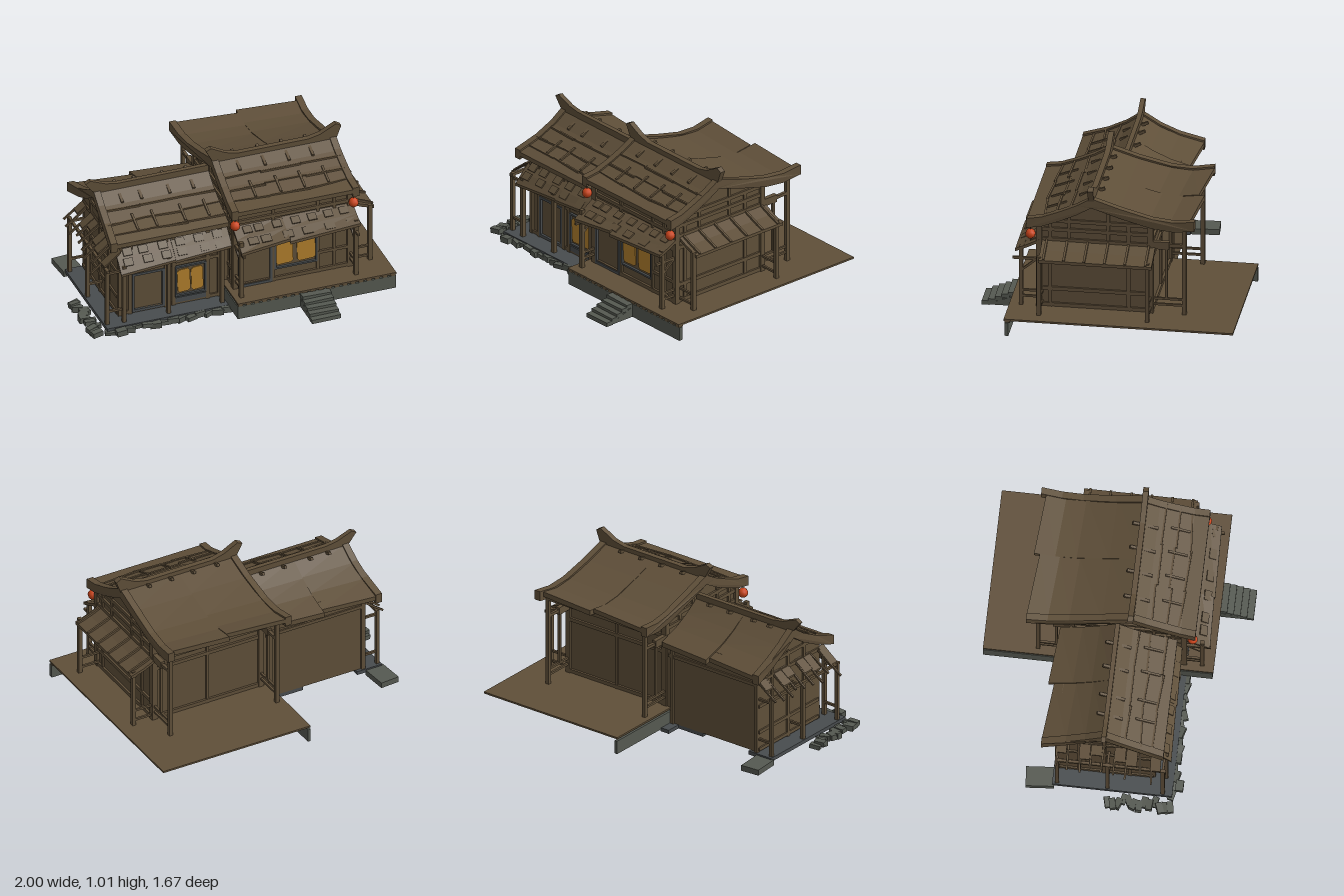
import * as THREE from 'three';

const mat = (name, color) => Object.assign(new THREE.MeshStandardMaterial({ color }), { name });

export function createModel() {
  const root = new THREE.Group();
  root.name = 'timberHouse';
  const wood = mat('brown wood', 0x5f4f39);
  const stone = mat('grey stone', 0x555951);
  const slate = mat('dark frame grey', 0x484c4e);
  const glow = mat('amber window', 0xb07e2c);
  const red = mat('lantern red', 0xcc451c);

  let seed = 7;
  const rnd = () => (seed = (seed * 16807) % 2147483647) / 2147483647;

  const add = (name, geo, m = wood) => {
    const mesh = new THREE.Mesh(geo, m);
    mesh.name = name;
    root.add(mesh);
    return mesh;
  };
  // Box given by its low and high limits on each axis
  const box = (name, x0, x1, y0, y1, z0, z1, m) => {
    const b = add(name, new THREE.BoxGeometry(x1 - x0, y1 - y0, z1 - z0), m);
    b.position.set((x0 + x1) / 2, (y0 + y1) / 2, (z0 + z1) / 2);
    return b;
  };
  // Bar between two points
  const bar = (name, a, b, w, m) => {
    const p = new THREE.Vector3(...a), q = new THREE.Vector3(...b);
    const s = add(name, new THREE.BoxGeometry(w, w, p.distanceTo(q)), m);
    s.position.copy(p).add(q).multiplyScalar(0.5);
    s.lookAt(q);
    return s;
  };
  // [z, y] outline extruded along x
  const alongX = (name, pts, x0, x1, m) => {
    const shape = new THREE.Shape(pts.map(([z, y]) => new THREE.Vector2(-z, y)));
    const geo = new THREE.ExtrudeGeometry(shape, { depth: x1 - x0, bevelEnabled: false });
    return add(name, geo.rotateY(Math.PI / 2).translate(x0, 0, 0), m);
  };
  // [x, y] outline extruded along z
  const alongZ = (name, pts, z0, z1, m) => {
    const shape = new THREE.Shape(pts.map(([x, y]) => new THREE.Vector2(x, y)));
    const geo = new THREE.ExtrudeGeometry(shape, { depth: z1 - z0, bevelEnabled: false });
    return add(name, geo.translate(0, 0, z0), m);
  };
  // Move each vertex of a mesh by a rule
  const warp = (mesh, rule) => {
    const p = mesh.geometry.attributes.position, v = new THREE.Vector3();
    for (let i = 0; i < p.count; i++) {
      rule(v.fromBufferAttribute(p, i));
      p.setXYZ(i, v.x, v.y, v.z);
    }
    mesh.geometry.computeVertexNormals();
  };
  // Strip with a top line and a thickness
  const slab = (pts, t) => [...pts, ...pts.map(([a, y]) => [a, y - t]).reverse()];
  // Sagging sheet: its eave shifts by dy, dz at the +x end
  const sheet = (name, pts, t, x0, x1, dy, dz) => {
    const za = pts[0][0], ze = pts[pts.length - 1][0];
    warp(alongX(name, slab(pts, t), x0, x1), (v) => {
      const k = Math.max(0, (v.z - za) / (ze - za)) * (v.x - x0) / (x1 - x0);
      v.y += dy * k;
      v.z += dz * k;
    });
  };
  const heightAt = (pts, a) => {
    for (let i = 0; i + 1 < pts.length; i++) {
      const [p, h] = pts[i], [q, k] = pts[i + 1];
      if ((a - p) * (a - q) <= 0) return h + (k - h) * (a - p) / (q - p);
    }
    return pts[pts.length - 1][1];
  };

  // Deck, joists, stone skirt on two sides
  box('deck', -0.065, 1, 0.153, 0.165, -0.83, 0.63);
  box('frontSkirt', -0.065, 1, 0.05, 0.14, 0.6, 0.625, stone);
  box('sideSkirt', -0.065, -0.045, 0.05, 0.14, -0.83, 0.6, stone);
  box('underfloorPanel', -0.045, -0.03, 0.06, 0.153, -0.25, 0.32);
  for (let i = 0; i < 20; i++) box('joistEnd', -0.06 + i * 0.054, -0.03 + i * 0.054, 0.14, 0.153, 0.59, 0.625);
  for (let i = 0; i < 5; i++) {
    const s = box('step', 0.355, 0.55, 0.118 - i * 0.018, 0.145 - i * 0.018, 0.62 + i * 0.042, 0.67 + i * 0.042, stone);
    s.rotation.z = (rnd() - 0.5) * 0.05;
  }
  for (const x of [0.355, 0.53]) alongX('stairSide', [[0.62, 0.05], [0.82, 0.05], [0.62, 0.12]], x, x + 0.02, stone);

  // Roof made of front and back sheets, end boards, ridge, battens and pegs
  const roof = (front, back, x0, x1, xs, ends) => {
    const mid = x0 + (x1 - x0) * 0.5, [rz, ry] = front[0];
    alongX('frontRoof', slab(front, 0.03), x0, x1);
    sheet('backRoof', back, 0.03, x0, mid, 0, 0.037);
    sheet('backRoof', back, 0.034, mid, x1, 0, 0.033);
    for (const [e, flare] of ends) {
      const line = [...front].reverse().concat(back.slice(1)).map(([z, y]) => [z, y + 0.012]);
      warp(alongX('endBoard', slab(line, 0.065), e - 0.022, e + 0.022), (v) => {
        v.x += flare * ((v.z - rz) / 0.4) ** 2;
      });
    }
    for (const x of xs) {
      bar('ridgePeg', [x, ry + 0.005, rz - 0.06], [x, heightAt(front, rz + 0.1) + 0.005, rz + 0.1], 0.018);
      bar('roofRib', [x + 0.03, heightAt(front, rz + 0.18) + 0.002, rz + 0.18],
        [x + 0.03, heightAt(front, rz + 0.3) + 0.002, rz + 0.3], 0.014);
    }
    for (const d of [0.13, 0.22, 0.31]) {
      for (let i = 0; i < 3; i++) {
        const w = (x1 - x0) / 3, a = x0 + i * w, z = rz + d, y = heightAt(front, z) + 0.002;
        bar('roofBatten', [a, y, z + (rnd() - 0.5) * 0.03], [a + w, y, z + (rnd() - 0.5) * 0.03], 0.012);
      }
    }
  };
  const mainFront = [[0.105, 0.925], [0.2, 0.87], [0.3, 0.825], [0.42, 0.78], [0.515, 0.765]];
  const mainBack = [[0.105, 0.925], [-0.08, 0.865], [-0.285, 0.812], [-0.42, 0.8], [-0.555, 0.818]];
  roof(mainFront, mainBack, -0.04, 0.775, [0.11, 0.28, 0.44, 0.6], [[-0.028, -0.012], [0.765, 0.008]]);
  const sideFront = [[0.02, 0.815], [0.12, 0.745], [0.24, 0.685], [0.4, 0.63]];
  const sideBack = [[0.02, 0.815], [-0.1, 0.74], [-0.22, 0.685], [-0.375, 0.64]];
  roof(sideFront, sideBack, -0.8, -0.04, [-0.65, -0.52, -0.33, -0.17], [[-0.79, -0.025]]);
  alongZ('mainRidge', [[0, 0.9], [0.74, 0.9], [0.79, 0.92], [0.82, 1.0], [0.785, 1.02], [0.68, 0.965], [0.6, 0.948],
    [0.12, 0.948], [0.04, 0.97], [-0.055, 1.02], [-0.09, 1.005], [-0.045, 0.92]], 0.088, 0.124);
  alongZ('sideRidge', [[-0.78, 0.8], [-0.04, 0.8], [-0.04, 0.845], [-0.65, 0.845], [-0.73, 0.858], [-0.835, 0.9],
    [-0.868, 0.882], [-0.82, 0.82]], 0.008, 0.038);

  // Main house body
  alongX('mainBody', [[0.44, 0.16], [0.44, 0.755], [0.3, 0.8], [0.105, 0.9], [-0.27, 0.79], [-0.27, 0.16]], -0.015, 0.755);
  for (const x of [-0.015, 0.755]) {
    for (const z of [0.44, -0.27]) box('cornerPost', x - 0.018, x + 0.018, 0.16, 0.76, z - 0.018, z + 0.018);
    for (const z of [0.25, 0.0]) box('gableStud', x - 0.01, x + 0.01, 0.61, 0.84, z - 0.01, z + 0.01);
    for (const z of [0.37, -0.13]) box('wallStud', x - 0.01, x + 0.01, 0.16, 0.77, z - 0.012, z + 0.012);
    for (const y of [0.18, 0.29, 0.55, 0.63, 0.7, 0.76]) box('wallRail', x - 0.013, x + 0.013, y - 0.012, y + 0.012, -0.27, 0.44);
  }
  for (const z of [0.44, -0.27]) {
    for (const y of [0.18, 0.54, 0.65]) box('crossRail', -0.015, 0.755, y - 0.012, y + 0.012, z - 0.015, z + 0.015);
  }
  for (const x of [0.24, 0.54, 0.65]) box('frontStud', x - 0.01, x + 0.01, 0.16, 0.7, 0.427, 0.453);
  box('backStud', 0.36, 0.38, 0.16, 0.7, -0.283, -0.27);
  box('frontRail', 0.54, 0.755, 0.3, 0.32, 0.43, 0.455);

  // Doors and glowing windows
  const frame = (x0, x1, y0, y1, z, w) => {
    for (const x of [x0, x1 - w]) box('frameSide', x, x + w, y0, y1, z, z + 0.016, slate);
    for (const y of [y0, y1 - w]) box('frameRail', x0, x1, y, y + w, z, z + 0.016, slate);
  };
  const pane = (x0, x1, y0, y1, z) => {
    const c = 0.016;
    alongZ('windowPane', [[x0 + c, y0], [x1 - c, y0 + 0.004], [x1, y0 + c], [x1 - 0.004, y1 - c], [x1 - c, y1],
      [x0 + c, y1 - 0.003], [x0, y1 - c], [x0 + 0.005, y0 + c]], z, z + 0.006, glow);
  };
  frame(0, 0.232, 0.168, 0.52, 0.444, 0.017);
  frame(0.245, 0.535, 0.25, 0.5, 0.441, 0.012);
  pane(0.255, 0.375, 0.275, 0.457, 0.442);
  pane(0.398, 0.525, 0.275, 0.457, 0.442);

  // Front awning and the awning on the right end
  const tiles = (n, x0, x1, y, z, slope) => {
    for (let i = 0; i < n; i++) {
      const w = (x1 - x0) / n, b = add('awningTile', new THREE.BoxGeometry(w * 0.5, 0.01, 0.05));
      b.position.set(x0 + w * (i + 0.3 + rnd() * 0.4), y, z);
      b.rotation.x = slope;
    }
  };
  sheet('frontAwning', [[0.43, 0.625], [0.52, 0.565], [0.605, 0.515]], 0.02, -0.03, 0.3, 0.035, -0.01);
  sheet('frontAwning', [[0.43, 0.63], [0.52, 0.575], [0.6, 0.53]], 0.02, 0.3, 0.775, 0.025, -0.01);
  tiles(7, -0.02, 0.77, 0.606, 0.48, 0.5);
  tiles(6, -0.02, 0.77, 0.562, 0.555, 0.5);
  alongZ('endAwning', slab([[0.75, 0.63], [0.84, 0.585], [0.93, 0.555]], 0.02), -0.3, 0.42);
  for (let i = 0; i < 6; i++) bar('endAwningBatten', [0.77, 0.625, -0.26 + i * 0.13], [0.93, 0.558, -0.26 + i * 0.13], 0.014);

  // Veranda posts, rails and braces
  const post = (x, z, y0, y1, w = 0.013) => box('post', x - w, x + w, y0, y1, z - w, z + w);
  for (const x of [-0.015, 0.755]) {
    post(x, 0.555, 0.165, 0.57);
    post(x, -0.485, 0.165, 0.78);
    post(x, -0.37, 0.27, 0.65, 0.009);
    for (const y of [0.225, 0.265]) {
      bar('sideRail', [x, y, 0.44], [x, y, 0.555], 0.014);
      bar('sideRail', [x, y, -0.27], [x, y, -0.485], 0.014);
    }
    bar('brace', [x, 0.4, 0.555], [x, 0.48, 0.46], 0.014);
    bar('tieBeam', [x, 0.63, -0.27], [x, 0.64, -0.485], 0.02);
    box('beamEnd', x - 0.015, x + 0.015, 0.61, 0.66, -0.39, -0.27);
    bar('tieBeam', [x, 0.485, 0.44], [x, 0.485, 0.61], 0.016);
  }
  bar('backBeam', [-0.03, 0.765, -0.485], [0.77, 0.765, -0.485], 0.025);
  for (const z of [-0.27, 0.42]) {
    post(0.9, z, 0.165, 0.57);
    for (const y of [0.2, 0.27]) bar('endRail', [0.76, y, z], [0.9, y, z], 0.014);
  }
  bar('endBeam', [0.9, 0.55, -0.3], [0.9, 0.55, 0.43], 0.02);

  // Side wing walls, open at the bottom
  const X0 = -0.76, X1 = -0.02, Z0 = -0.28, Z1 = 0.33;
  box('wingFront', X0, X1, 0.06, 0.65, Z1 - 0.015, Z1);
  box('wingBack', X0, X1, 0.06, 0.66, Z0, Z0 + 0.015);
  alongX('wingEnd', [[Z1, 0.06], [Z1, 0.63], [0.02, 0.79], [Z0, 0.64], [Z0, 0.06]], X0, X0 + 0.015);
  for (const x of [-0.75, -0.68, -0.44, -0.39, -0.16, -0.08]) post(x, Z1, 0.06, 0.64);
  for (const x of [-0.75, -0.08]) post(x, Z0, 0.06, 0.64);
  for (const y of [0.075, 0.36, 0.5, 0.6]) bar('wingFrontRail', [X0, y, Z1], [-0.05, y, Z1], 0.022);
  for (const y of [0.53, 0.6]) bar('wingBackRail', [X0, y, Z0], [-0.05, y, Z0], 0.022);
  for (const z of [-0.14, 0.02, 0.18]) post(X0, z, 0.06, 0.66, 0.011);
  for (const y of [0.08, 0.2, 0.38, 0.55, 0.64]) bar('wingEndRail', [X0, y, Z0], [X0, y, Z1], 0.022);
  frame(-0.67, -0.45, 0.07, 0.35, Z1, 0.016);
  frame(-0.38, -0.17, 0.12, 0.34, Z1, 0.012);
  box('sillPanel', -0.38, -0.17, 0.075, 0.11, Z1, Z1 + 0.012, slate);
  pane(-0.365, -0.275, 0.143, 0.312, Z1 + 0.002);
  pane(-0.272, -0.188, 0.143, 0.312, Z1 + 0.002);

  // Wing awnings, posts and broken rafters
  sheet('wingAwning', [[0.32, 0.56], [0.39, 0.49], [0.445, 0.43]], 0.018, -0.78, -0.41, 0.025, -0.01);
  sheet('wingAwning', [[0.32, 0.57], [0.39, 0.505], [0.44, 0.45]], 0.018, -0.41, -0.03, 0.025, -0.01);
  tiles(6, -0.77, -0.04, 0.538, 0.36, 0.75);
  tiles(6, -0.77, -0.04, 0.49, 0.405, 0.75);
  for (const x of [-0.75, -0.45, -0.09]) post(x, 0.41, 0.06, 0.47);
  for (let i = 0; i < 9; i++) {
    const z = -0.28 + i * 0.075, k = rnd() * 0.06;
    bar('brokenRafter', [-0.75, 0.56, z], [-0.95 + k, 0.41 + k * 0.75, z + (rnd() - 0.5) * 0.04], 0.012);
    if (i % 3 !== 1) alongZ('brokenAwning', slab([[-0.76, 0.565], [-0.88 + k, 0.47 + k * 0.8]], 0.012), z, z + 0.065);
  }
  for (const z of [-0.27, 0.05, 0.4]) {
    post(-0.86, z, 0.05, 0.46, 0.012);
    for (const y of [0.15, 0.43]) bar('endRail', [-0.86, y, z], [-0.76, y, z], 0.015);
  }
  bar('endBeam', [-0.86, 0.45, -0.28], [-0.86, 0.45, 0.42], 0.018);

  // Wing floor slab and rough stones around its edge
  box('wingSlabFront', -0.88, -0.06, 0.035, 0.06, 0.06, 0.46, slate);
  box('wingSlabBack', -0.32, -0.06, 0.035, 0.06, -0.28, 0.06, slate);
  box('wingSlabCorner', -0.125, -0.06, 0.035, 0.06, -0.38, -0.28, slate);
  box('wingSlabEnd', -0.88, -0.7, 0.035, 0.06, -0.3, 0.06, slate);
  const rock = (x, z, w, d) => {
    const h = 0.02 + rnd() * 0.02;
    const s = add('edgeStone', new THREE.BoxGeometry(w, h, d), stone);
    s.position.set(x, 0.022 + rnd() * 0.015 + h / 4, z);
    s.rotation.set((rnd() - 0.5) * 0.2, (rnd() - 0.5) * 0.8, (rnd() - 0.5) * 0.2);
  };
  for (let i = 0; i < 16; i++) rock(-0.86 + i * 0.06, 0.455 + rnd() * 0.02, 0.06 + rnd() * 0.02, 0.04);
  for (let i = 0; i < 13; i++) rock(-0.92 - rnd() * 0.05, 0.06 + i * 0.033, 0.07, 0.04);
  rock(-0.8, 0.5, 0.07, 0.05);
  const big = box('largeStone', -0.9, -0.77, 0.012, 0.05, -0.47, -0.29, stone);
  big.rotation.y = 0.08;

  // Lanterns on cords
  for (const x of [-0.035, 0.762]) {
    const l = add('lantern', new THREE.SphereGeometry(0.033, 10, 6), red);
    l.position.set(x, 0.66, 0.495);
    box('lanternCord', x - 0.003, x + 0.003, 0.69, 0.75, 0.492, 0.498);
  }
  return root;
}
